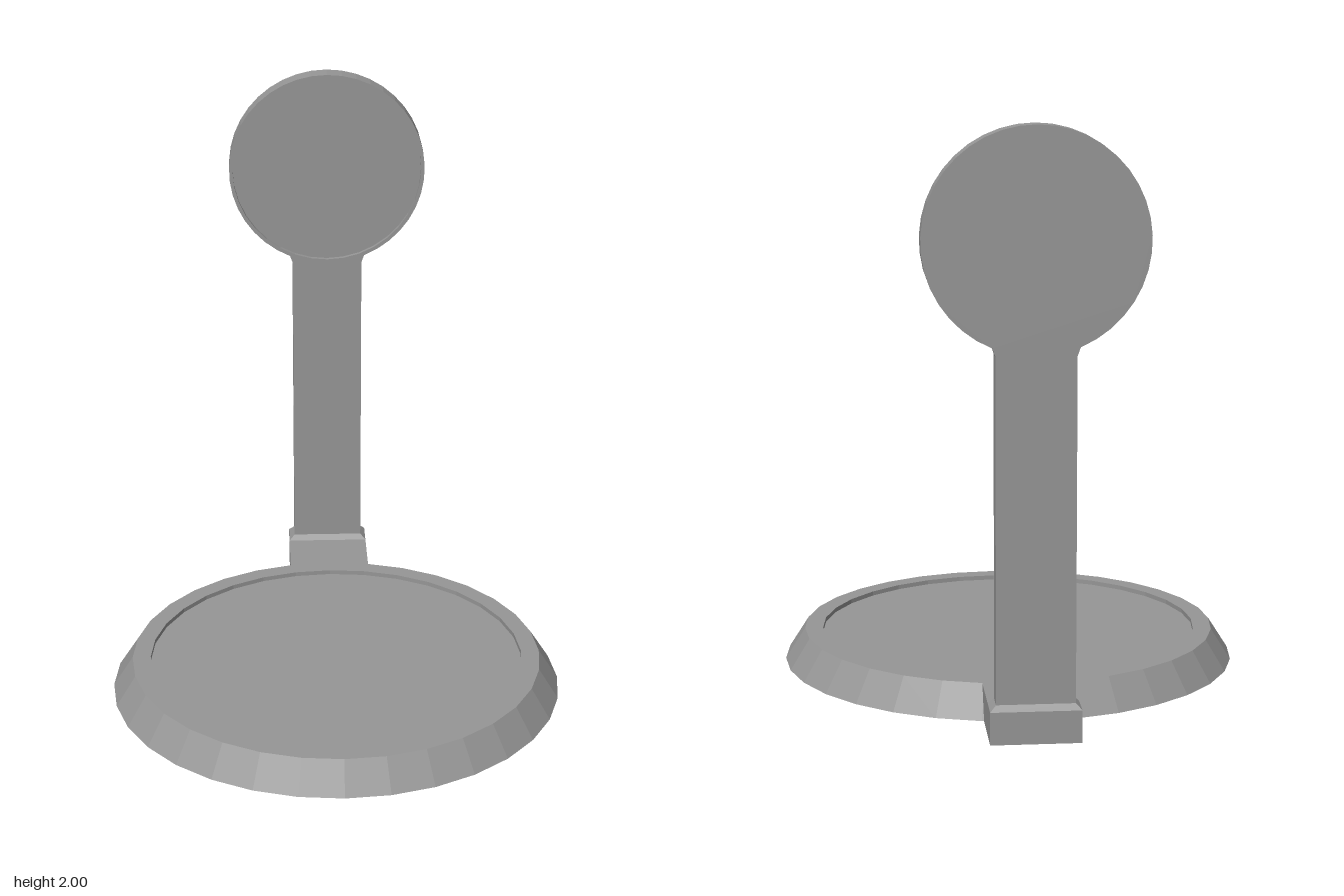
import * as THREE from 'three';

const material = new THREE.MeshStandardMaterial({ color: 0x969696, flatShading: true });

export function createModel() {
  const group = new THREE.Group();
  const add = (name, geometry, x = 0, y = 0, z = 0) => {
    const mesh = new THREE.Mesh(geometry, material);
    mesh.name = name;
    mesh.position.set(x, y, z);
    group.add(mesh);
  };

  // Round base: sloped side, flat rim and a shallow recessed tray
  const baseProfile = [[0, 0], [0.805, 0], [0.735, 0.11], [0.67, 0.11], [0.67, 0.094], [0, 0.094]]
    .map(([r, y]) => new THREE.Vector2(r, y));
  add('base', new THREE.LatheGeometry(baseProfile, 32), 0, 0, 0.118);

  // Tab joining the base to the post
  add('rearTab', new THREE.BoxGeometry(0.3, 0.11, 0.35), 0, 0.055, -0.749);

  // Chamfered foot: a box whose top is narrowed to the post
  const foot = new THREE.BoxGeometry(0.3, 0.02, 0.106);
  const p = foot.attributes.position;
  for (let i = 0; i < p.count; i++) {
    if (p.getY(i) > 0) p.setXYZ(i, p.getX(i) * 0.13 / 0.15, p.getY(i), p.getZ(i) > 0 ? 0.039 : -0.037);
  }
  add('postFoot', foot, 0, 0.12, -0.871);

  // Post and disc share one outline, with small flares at the neck
  const R = 0.365, centerY = 1.635, half = 0.13;
  const neck = Math.asin(0.14 / R);
  const outline = () => new THREE.Shape()
    .moveTo(-half, 0.13)
    .lineTo(half, 0.13)
    .lineTo(half, 1.27)
    .absarc(0, centerY, R, -Math.PI / 2 + neck, Math.PI * 1.5 - neck, false)
    .lineTo(-half, 1.27);
  const extrude = (shape, depth) =>
    new THREE.ExtrudeGeometry(shape, { depth, bevelEnabled: false, curveSegments: 18 });

  // Solid back layer, then a front layer opened by the round recess
  add('postAndDiscBack', extrude(outline(), 0.06), 0, 0, -0.908);
  const front = outline();
  front.holes.push(new THREE.Path().absarc(0, centerY, 0.352, 0, Math.PI * 2, true));
  add('postAndDiscRim', extrude(front, 0.016), 0, 0, -0.848);

  return group;
}
